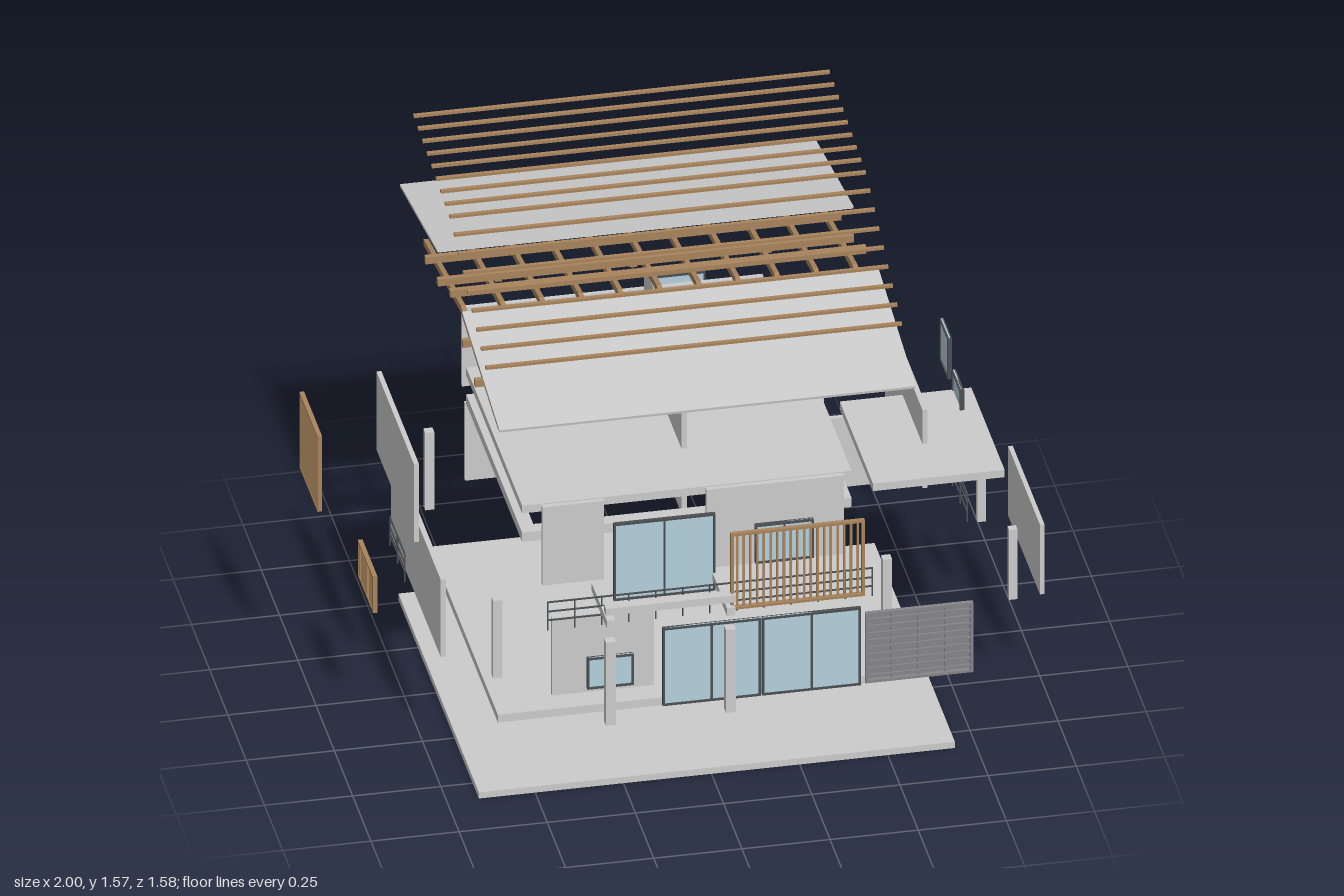
import * as THREE from 'three';

const mat = (color, side = THREE.FrontSide) => new THREE.MeshStandardMaterial({ color, side });
const grey = mat(0xcccccc), wood = mat(0xa8845c), dark = mat(0x4a4e52),
  glass = mat(0xb4d0da), slat = mat(0x85858a);

export function createModel() {
  const model = new THREE.Group();

  // box given by its bounds on each axis
  const box = (name, x0, x1, y0, y1, z0, z1, m = grey, parent = model) => {
    const mesh = new THREE.Mesh(new THREE.BoxGeometry(x1 - x0, y1 - y0, z1 - z0), m);
    mesh.position.set((x0 + x1) / 2, (y0 + y1) / 2, (z0 + z1) / 2);
    mesh.name = name;
    parent.add(mesh);
    return mesh;
  };
  // flat panel group in local xy, optionally turned to face sideways
  const panel = (name, x, y, z, sideways = false) => {
    const g = new THREE.Group();
    g.name = name;
    g.position.set(x, y, z);
    if (sideways) g.rotation.y = Math.PI / 2;
    model.add(g);
    return g;
  };
  const frame = (g, w, h, t, d, m) => {
    for (const s of [-1, 1]) {
      box('frameSide', s * w / 2 - (s > 0 ? t : 0), s * w / 2 + (s > 0 ? 0 : t), -h / 2, h / 2, -d / 2, d / 2, m, g);
      box('frameRail', -w / 2, w / 2, s * h / 2 - (s > 0 ? t : 0), s * h / 2 + (s > 0 ? 0 : t), -d / 2, d / 2, m, g);
    }
  };
  // framed glazing with two panes
  const glazing = (name, x, y, z, w, h, panes = 2, sideways = false) => {
    const g = panel(name, x, y, z, sideways);
    frame(g, w, h, 0.006, 0.012, dark);
    box('glassPane', -w / 2, w / 2, -h / 2, h / 2, -0.002, 0.002, glass, g);
    for (let i = 1; i < panes; i++) {
      const c = -w / 2 + w * i / panes;
      box('mullion', c - 0.003, c + 0.003, -h / 2, h / 2, -0.005, 0.005, dark, g);
    }
  };
  // screen made of upright and level bars
  const screen = (name, x, y, z, w, h, uprights, levels, m, sideways = false) => {
    const g = panel(name, x, y, z, sideways);
    frame(g, w, h, 0.008, 0.013, m);
    for (let i = 1; i < uprights; i++) {
      const c = -w / 2 + w * i / uprights;
      box('upright', c - 0.003, c + 0.003, -h / 2, h / 2, -0.005, 0.001, m, g);
    }
    for (let i = 1; i < levels; i++) {
      const c = -h / 2 + h * i / levels;
      box('levelBar', -w / 2, w / 2, c - 0.003, c + 0.003, -0.001, 0.005, m, g);
    }
  };
  // thin balcony railing
  const railing = (name, x, z, w, posts, sideways = false) => {
    const g = panel(name, x, 0.595, z, sideways), r = 0.002;
    for (let i = 0; i <= posts; i++) {
      const c = -w / 2 + w * i / posts;
      box('railPost', c - r, c + r, 0, 0.092, -r, r, dark, g);
    }
    for (const y of [0.032, 0.06, 0.09]) box('rail', -w / 2, w / 2, y - r, y + r, -r, r, dark, g);
  };

  // ground plate and foundation
  box('groundPlate', -0.66, 0.69, 0, 0.02, -0.515, 0.585);
  box('foundation', -0.58, 0.52, 0.163, 0.188, -0.47, 0.46);

  // ground floor walls and columns
  const y0 = 0.315, y1 = 0.565;
  box('lowerFrontWall', -0.455, -0.165, y0, y1, 0.583, 0.597);
  box('lowerBackWall', -0.455, 0.4, y0, y1, -0.605, -0.592);
  box('lowerLeftSideWall', -0.715, -0.7, y0, y1, -0.35, 0.33);
  box('carportBackWall', 0.42, 0.735, y0, 0.54, -0.36, -0.345);
  box('carportSideWall', 0.983, 0.996, y0, 0.54, -0.1, 0.335);
  for (const x of [-0.583, 0.522]) for (const z of [-0.47, 0.46])
    box('cornerColumn', x - 0.013, x + 0.013, y0, y1, z - 0.013, z + 0.013);
  for (const z of [-0.095, 0.335])
    box('carportColumn', 0.893, 0.917, y0, 0.54, z - 0.012, z + 0.012);
  box('carportRoof', 0.507, 0.88, 0.714, 0.738, -0.107, 0.348);

  // porch columns and beams
  for (const x of [-0.327, 0.013]) {
    box('porchColumn', x - 0.014, x + 0.014, y0, 0.583, 0.76, 0.788);
    box('porchSideBeam', x - 0.012, x + 0.012, 0.63, 0.655, 0.575, 0.79);
  }
  box('porchFrontBeam', -0.341, 0.027, 0.67, 0.693, 0.758, 0.788);

  // upper floor walls
  const u0 = 0.595, u1 = 0.848;
  box('upperFrontWallA', -0.455, -0.28, u0, u1, 0.453, 0.468);
  box('upperFrontWallB', 0.01, 0.4, u0, u1, 0.453, 0.468);
  box('upperBackWall', -0.455, 0.4, u0, u1, -0.648, -0.634);
  box('upperLeftSideWall', -0.757, -0.743, u0, u1, -0.347, 0.165);
  box('upperRightSideWall', 0.685, 0.7, u0, u1, -0.347, 0.165);
  box('centralWall', 0.002, 0.018, u0, 1.1, -0.347, 0.165);
  box('partition', -0.03, 0.395, u0, 0.863, -0.143, -0.123);
  box('stairLanding', -0.17, -0.075, 0.565, 0.594, -0.275, -0.025);
  box('stairPost', -0.15, -0.09, 0.594, 0.822, -0.24, -0.18);

  // ceiling slab and ring of edge beams under it
  box('ceilingSlab', -0.494, 0.44, 0.78, 0.805, -0.388, 0.377);
  for (const z of [-0.388, 0.337]) box('ringBeamLong', -0.494, 0.44, 0.688, 0.718, z, z + 0.04);
  for (const x of [-0.494, 0.4]) box('ringBeamShort', x, x + 0.04, 0.688, 0.718, -0.388, 0.377);

  // doors and windows
  glazing('terraceDoor', -0.026, 0.44, 0.71, 0.278, 0.25);
  glazing('terraceDoor', 0.257, 0.44, 0.71, 0.28, 0.25);
  glazing('lowerFrontWindow', -0.315, 0.45, 0.72, 0.132, 0.1);
  glazing('balconyDoor', -0.135, 0.722, 0.59, 0.288, 0.248);
  glazing('upperFrontWindow', 0.203, 0.738, 0.6, 0.165, 0.125);
  glazing('lowerBackWindow', 0.183, 0.463, -0.741, 0.165, 0.1, 1);
  glazing('upperBackWindow', 0.183, 0.737, -0.782, 0.165, 0.12, 1);
  glazing('sideWindowLow', 0.83, 0.737, -0.049, 0.115, 0.13, 1, true);
  glazing('sideWindowHigh', 0.83, 0.805, -0.218, 0.113, 0.133, 1, true);

  // screens and railings
  screen('balconyScreen', 0.205, 0.763, 0.772, 0.38, 0.245, 20, 1, wood);
  screen('upperShutter', -0.995, 0.763, -0.098, 0.245, 0.245, 18, 18, wood, true);
  screen('lowerShutter', -0.869, 0.445, 0.073, 0.205, 0.118, 14, 9, wood, true);
  screen('carportGate', 0.563, 0.43, 0.707, 0.305, 0.225, 4, 10, slat);
  box('gatePanel', 0.415, 0.71, 0.318, 0.538, 0.698, 0.7, slat);
  railing('frontRailing', -0.03, 0.707, 0.92, 12);
  railing('sideRailing', -0.825, 0.268, 0.2, 2, true);
  railing('sideRailing', 0.77, 0.268, 0.2, 2, true);

  // roof timbers: bent rafters, purlins, ridge and short posts
  const chevron = new THREE.Shape([[-0.51, 1.157], [-0.507, 1.139], [0, 1.219], [0.507, 1.139],
    [0.51, 1.157], [0, 1.24]].map(p => new THREE.Vector2(...p)));
  const rafterGeo = new THREE.ExtrudeGeometry(chevron, { depth: 0.014, bevelEnabled: false });
  for (let i = 0; i < 11; i++) {
    const rafter = new THREE.Mesh(rafterGeo, wood);
    rafter.name = 'rafter';
    rafter.rotation.y = Math.PI / 2;
    rafter.position.set(-0.589 + i * 0.111, 0, -0.005);
    model.add(rafter);
  }
  for (const [z, y] of [[0.335, 1.194], [0.165, 1.222], [-0.175, 1.222], [-0.345, 1.194], [-0.005, 1.285]])
    box('purlin', -0.62, 0.56, y - 0.011, y + 0.011, z - 0.008, z + 0.008, wood);
  for (const x of [-0.413, -0.03, 0.353]) {
    box('roofPost', x - 0.01, x + 0.01, 1.102, 1.158, 0.157, 0.173, wood);
    box('roofPost', x - 0.01, x + 0.01, 1.102, 1.13, -0.354, -0.338, wood);
  }

  // sloping roof sheets
  for (const s of [-1, 1]) {
    const sheet = box('roofSheet', -0.62, 0.56, -0.004, 0.004, -0.259, 0.259);
    sheet.position.set(-0.03, 1.277, s * 0.425 - 0.006);
    sheet.rotation.x = s * Math.atan(0.085 / 0.508);
  }

  // battens lifted above the roof
  for (let i = 0; i < 17; i++) {
    const z = -0.5 + i * 0.0615;
    const y = z < 0 ? 1.53 - z * 0.076 : 1.53 - z * 0.415;
    box('batten', -0.62, 0.56, y - 0.004, y + 0.004, z - 0.006, z + 0.006, wood);
  }
  return model;
}
